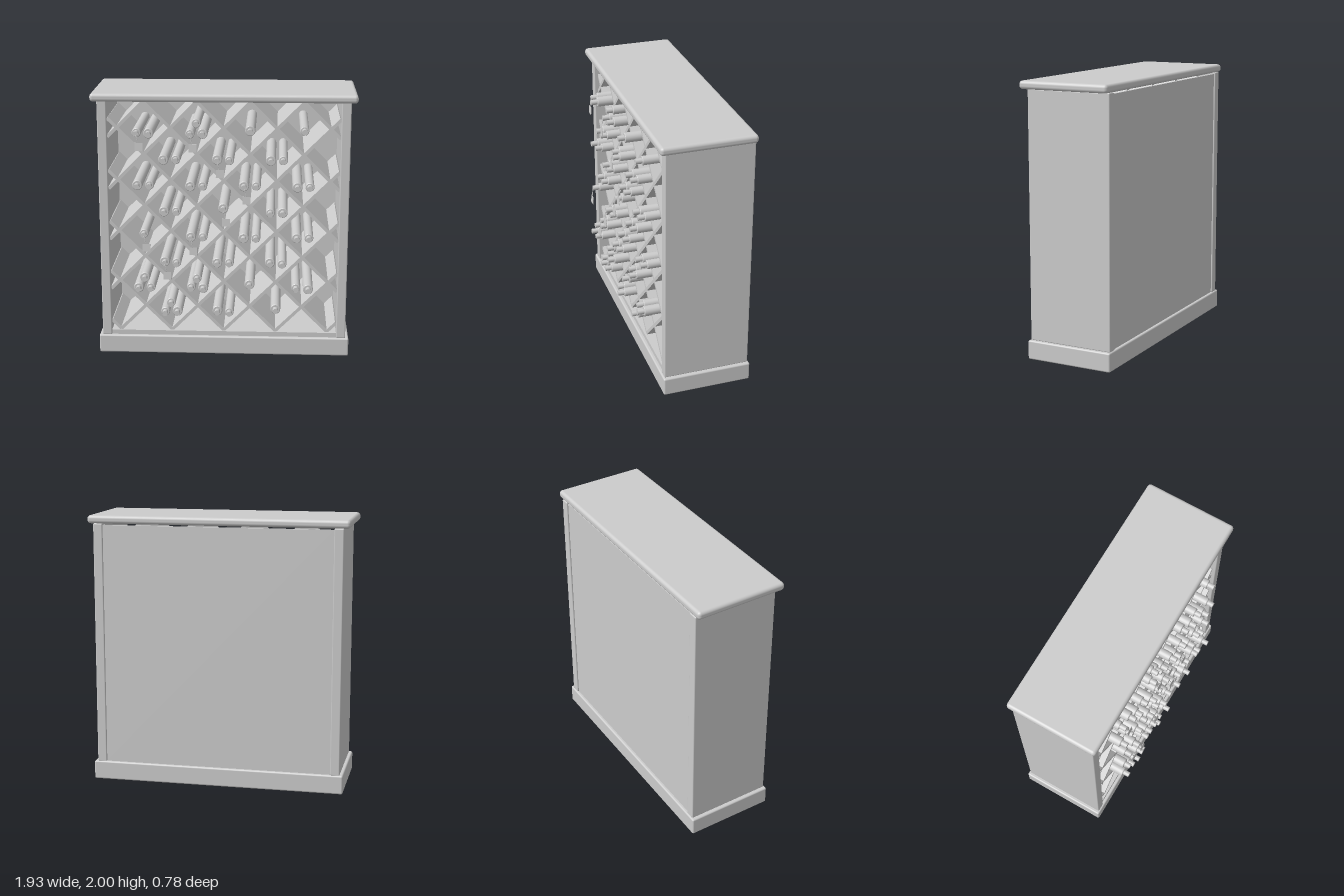
import * as THREE from 'three';
import { RoundedBoxGeometry } from 'three/addons/geometries/RoundedBoxGeometry.js';

export function createModel() {
  const root = new THREE.Group();
  root.name = 'bottleRack';
  const grey = new THREE.MeshStandardMaterial({ color: 0xcccccc });
  grey.name = 'plain grey';

  const add = (name, geometry, parent = root) => {
    const mesh = new THREE.Mesh(geometry, grey);
    mesh.name = name;
    parent.add(mesh);
    return mesh;
  };
  // Box given by its limits on each axis, with an optional rounded edge
  const box = (name, [x0, x1], [y0, y1], [z0, z1], r = 0, parent = root) => {
    const s = [x1 - x0, y1 - y0, z1 - z0];
    const g = r ? new RoundedBoxGeometry(...s, 3, r) : new THREE.BoxGeometry(...s);
    add(name, g, parent).position.set((x0 + x1) / 2, (y0 + y1) / 2, (z0 + z1) / 2);
  };

  // Cabinet
  box('topBoard', [-0.965, 0.965], [1.94, 2], [-0.383, 0.307], 0.024);
  box('basePlinth', [-0.945, 0.945], [0, 0.14], [-0.39, 0.275], 0.012);
  box('leftSide', [0.85, 0.92], [0.138, 1.942], [-0.38, 0.263], 0.008);
  box('rightSide', [-0.92, -0.85], [0.138, 1.942], [-0.38, 0.263], 0.008);
  box('backPanel', [-0.852, 0.852], [0.138, 1.93], [-0.368, -0.345]);
  box('bottomShelf', [-0.852, 0.852], [0.138, 0.175], [-0.35, 0.25]);

  // Diagonal slats, clipped to the opening
  const pitch = 0.39, xMax = 0.85, yMin = 0.178, yMax = 1.938;
  const zFront = 0.235, zBack = -0.345, thick = 0.024;
  const lattice = new THREE.Group();
  lattice.name = 'lattice';
  root.add(lattice);
  for (const side of [1, -1]) {
    for (let n = -6; n <= 2; n++) {
      const c = 1.74 + n * pitch; // slat line: y = c + x
      const xa = Math.max(-xMax, yMin - c), xb = Math.min(xMax, yMax - c);
      if (xb - xa < 0.05) continue;
      const slat = add('slat', new THREE.BoxGeometry((xb - xa) * Math.SQRT2, thick, zFront - zBack), lattice);
      slat.position.set(side * (xa + xb) / 2, c + (xa + xb) / 2, (zFront + zBack) / 2);
      slat.rotation.z = side * Math.PI / 4;
    }
  }

  // Bottle with a straight body and a narrow neck, pointing forward
  const bottleShape = r => new THREE.LatheGeometry([
    [0, -0.62], [r, -0.62], [r, -0.62], [r, -0.004], [r, -0.004], [r - 0.004, 0], [r - 0.004, 0],
    [0.02, 0], [0.02, 0], [0.02, 0.047], [0.02, 0.047], [0, 0.047],
  ].map(p => new THREE.Vector2(...p)), 20).rotateX(Math.PI / 2);
  const shapes = [bottleShape(0.033), bottleShape(0.037)];
  const stringMark = (x, y, z) => {
    const tag = new THREE.Group();
    tag.name = 'hangingTag';
    tag.position.set(x, y, z);
    const curve = new THREE.CatmullRomCurve3([[0, 0.005, -0.015], [0.006, -0.012, 0.003], [0.018, -0.062, 0.012]]
      .map(p => new THREE.Vector3(...p)));
    add('tagString', new THREE.TubeGeometry(curve, 8, 0.0025, 5), tag);
    const card = add('tagCard', new THREE.BoxGeometry(0.058, 0.058, 0.003), tag);
    card.position.set(0.023, -0.09, 0.014);
    card.rotation.x = -0.08;
    root.add(tag);
  };

  // Bottles in each cell: [column in half pitches, bottle count, has a tag]
  const rows = [
    [[-3, 2, 1], [-1, 3, 1], [1, 1], [3, 1]],
    [[-2, 2], [0, 2, 1], [2, 2]],
    [[-3, 2], [-1, 2], [1, 2, 1], [3, 2]],
    [[-2, 2], [0, 1, 1], [2, 2]],
    [[-3, 1, 1], [-1, 2, 1], [1, 2], [3, 2]],
    [[-2, 2, 1], [0, 2], [2, 2]],
    [[-3, 3], [-1, 3], [1, 1], [3, 2]],
    [[-2, 3], [0, 2], [2, 1]],
  ];
  const layouts = {
    1: [[0, 0]],
    2: [[-0.045, -0.025], [0.045, -0.025]],
    3: [[-0.045, -0.028], [0.045, -0.028], [0, 0.048]],
  };
  let count = 0;
  rows.forEach((row, r) => row.forEach(([col, number, tagged]) => {
    layouts[number].forEach(([dx, dy], i) => {
      const x = col * pitch / 2 + dx, y = 1.743 - r * pitch / 2 + dy;
      const z = 0.318 + 0.008 * ((count * 3 + r) % 4 - 1.5) - (r === 7 && i < 2 ? 0.02 : 0);
      add('bottle', shapes[count % 2]).position.set(x, y, z);
      if (tagged && i === 0) stringMark(x, y, z + 0.047);
      count++;
    });
  }));
  return root;
}
